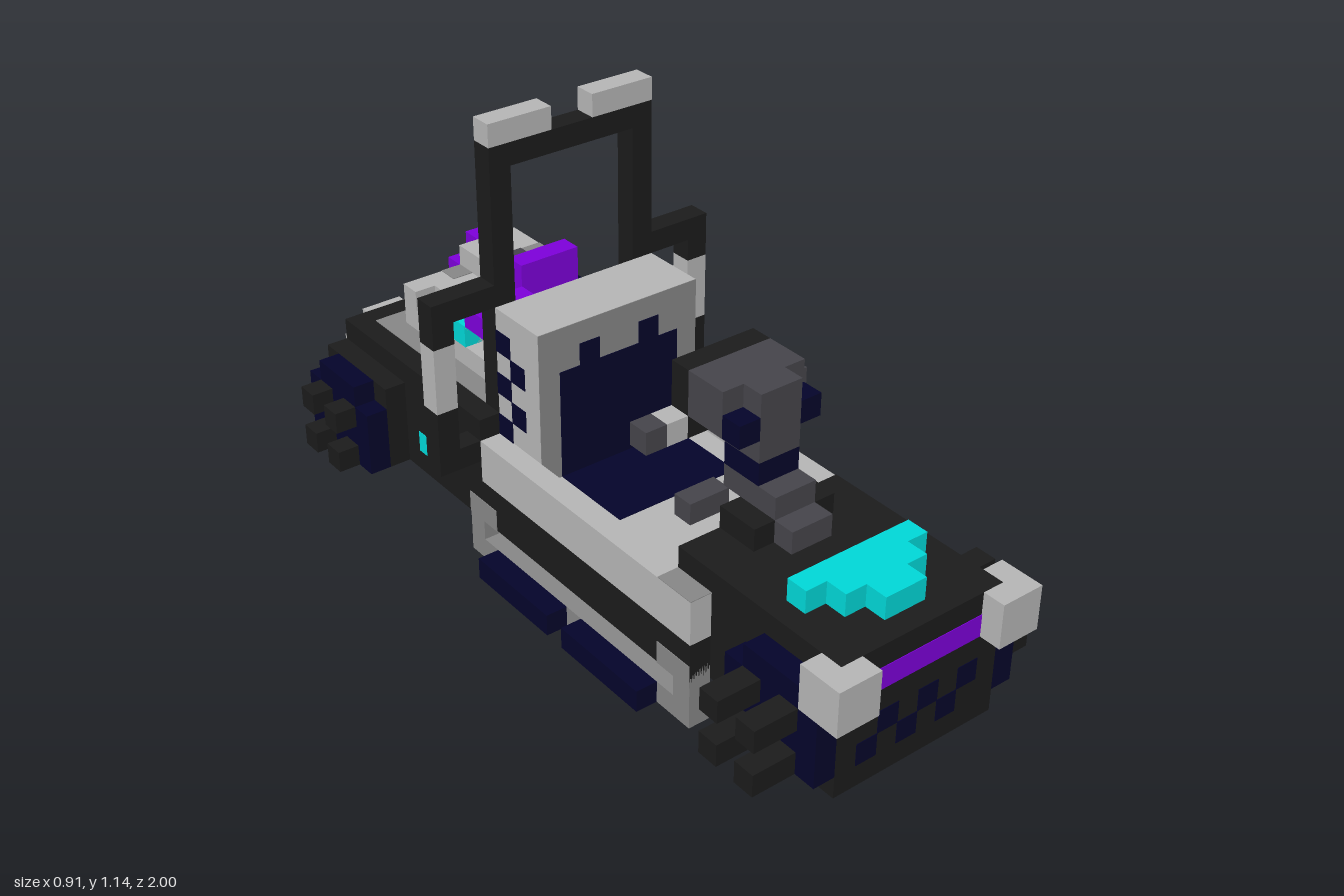
import * as THREE from 'three';

// One block of the model; coordinates below are in blocks, z counted from the rear end.
const U = 2 / 35;
const T = 0.03; // thickness of painted plates

export function createModel() {
  const root = new THREE.Group();
  root.name = 'buggy';
  const mat = (name, color) => {
    const m = new THREE.MeshStandardMaterial({ color });
    m.name = name;
    return m;
  };
  const black = mat('black', 0x1b1b1b);
  const navy = mat('navy', 0x04042a);
  const light = mat('light grey', 0xb4b4b4);
  const mid = mat('mid grey', 0x858585);
  const dark = mat('dark grey', 0x45444a);
  const cyan = mat('cyan', 0x00d6d6);
  const purple = mat('purple', 0x7c00d8);

  const box = (name, m, x0, x1, y0, y1, z0, z1) => {
    const g = new THREE.BoxGeometry((x1 - x0) * U, (y1 - y0) * U, (z1 - z0) * U);
    g.translate(((x0 + x1) / 2) * U, ((y0 + y1) / 2) * U, ((z0 + z1) / 2 - 17.5) * U);
    const mesh = new THREE.Mesh(g, m);
    mesh.name = name;
    root.add(mesh);
  };
  const pair = (name, m, x0, x1, ...r) => {
    box(name, m, x0, x1, ...r);
    box(name, m, -x1, -x0, ...r);
  };

  // Chassis with a recessed, ribbed underside
  box('rearBody', black, -5, 5, 2, 7, 2, 13);
  pair('rearFender', black, 5, 6, 2, 6, 2, 7);
  box('rearSkid', black, -4, 4, 1, 2, 3, 7);
  box('floorPan', black, -4, 4, 3, 4, 13, 27);
  pair('sill', black, 4, 5, 2, 4, 13, 27);
  for (const z of [15, 19, 23]) box('floorRib', navy, -4, 4, 2, 3, z, z + 1);
  box('hood', black, -4, 4, 2, 7, 27, 34);
  box('hoodRear', black, -4, 4, 5, 7, 25, 27);
  box('frontSkid', black, -4, 4, 1, 2, 32, 34);
  pair('sideMarker', cyan, 5, 5 + T, 3, 4, 8, 10);

  // Cockpit tub
  box('tubFloor', light, -4, 4, 4, 5, 13, 27);
  pair('tubWall', light, 4, 5, 4, 6, 13, 27);
  pair('tubRimCap', mid, 4, 5, 6, 6 + T, 25, 27);

  // Seat
  box('seatBack', light, -4, 4, 5, 12, 13, 16);
  box('seatBackFace', mid, -4, 4, 5, 12, 16, 16 + T);
  box('seatBackPad', navy, -3, 3, 5, 10, 16 + T, 16 + 2 * T);
  pair('seatBackPadTop', navy, 1, 2, 10, 11, 16 + T, 16 + 2 * T);
  box('seatCushion', navy, -3, 3, 5, 5 + T, 16, 20);
  for (let y = 6; y <= 10; y++) {
    const z = y % 2 ? 14 : 13;
    pair('seatVent', navy, 4, 4 + T, y, y + 1, z, z + 1);
  }

  // Dashboard, steering column and handlebar
  box('dashboard', dark, -3, 3, 5, 6, 24, 25);
  box('gearLever', dark, -1, 1, 5, 6, 21, 22);
  pair('cowl', black, 1, 2, 7, 8, 25, 27);
  box('columnBase', dark, -1, 1, 7, 8, 25, 28);
  box('columnLower', dark, -1, 1, 8, 9, 24, 27);
  box('columnNeck', navy, -1, 1, 9, 10, 24, 26);
  box('columnHead', dark, -1, 1, 10, 13, 23, 26);
  pair('headCover', dark, 1, 2, 12, 13, 23, 25);
  pair('headLamp', navy, 1, 2, 11, 12, 25, 26);
  pair('headSide', dark, 1, 2, 11, 12, 23, 25);
  box('displayHousing', black, -2, 2, 10, 13, 22, 23);
  box('display', light, -1, 1, 11, 12, 22 - T, 22);
  pair('handleJoint', light, 2, 3, 10, 11, 22, 23);
  pair('handleGrip', dark, 3, 4, 10, 11, 22, 23);

  // Nose: stepped hood ornament, lamps, stripe and grille
  [3, 2, 1].forEach((w, i) => box('hoodOrnament', cyan, -w, w, 7, 8, 30 + i, 31 + i));
  pair('headlight', light, 3, 5, 5, 7, 34, 35);
  pair('headlightBack', light, 4, 5, 5, 7, 33, 34);
  box('noseStripe', purple, -3, 3, 5, 6, 34, 34 + T);
  for (let i = 0; i < 6; i++) {
    const y = 2 + (i % 2);
    box('grilleCell', navy, i - 3, i - 2, y, y + 1, 34, 34 + T);
  }

  // Wheels with lug spikes: [inner x, outer x, spike end, rear z]
  for (const [x0, x1, x2, z] of [[6, 7, 8, 2], [4, 5, 7, 29]]) {
    pair('wheel', navy, x0, x1, 2, 5, z, z + 5);
    pair('wheelTop', navy, x0, x1, 5, 6, z + 1, z + 4);
    for (const y of [2, 4])
      for (const dz of [1, 3])
        pair('wheelSpike', black, x1, x2, y, y + 1, z + dz, z + dz + 1);
  }

  // Running boards
  pair('boardRail', mid, 4, 5, 0, 1, 12, 27);
  for (const [z, bracketZ] of [[12, 12], [26, 25]]) {
    pair('boardPost', mid, 4, 5, 1, 2, z, z + 1);
    pair('boardBracket', mid, 4, 5 + T, 2 - T, 3, bracketZ, bracketZ + 2);
  }
  for (const z of [14, 20]) pair('step', navy, 5, 6, 0, 1, z, z + 5);

  // Roll hoop and side frames
  pair('hoopPost', black, 3, 4, 7, 18, 12, 13);
  box('hoopTop', black, -4, 4, 18, 19, 12, 13);
  pair('hoopLamp', light, 1, 4, 19, 20, 12, 13);
  pair('frameTop', black, 4, 7, 12, 13, 12, 13);
  pair('frameUpper', black, 6, 7, 11, 12, 12, 13);
  pair('frameSleeve', light, 6, 7, 8, 11, 12, 13);
  pair('frameLower', black, 6, 7, 6, 8, 12, 13);
  pair('frameFoot', black, 5, 7, 5, 6, 12, 13);

  // Engine
  box('engineTray', mid, -4, 4, 7, 7 + T, 3, 12);
  box('engineBase', light, -3, 3, 7, 8, 4, 11);
  box('engineBlock', light, -2, 3, 8, 9, 4, 10);
  for (const z of [4, 6, 8]) box('engineBolt', light, -3, -2, 8, 9, z, z + 1);
  box('engineHead', light, 0, 3, 9, 10, 4, 7);
  box('headChannel', mid, 0, 3, 10, 10 + T, 6, 7);
  box('blockChannel', mid, -1, 0, 9, 9 + T, 6, 7);
  box('blockRecess', mid, -1, 0, 9, 9 + T, 4, 5);
  box('channelPlug', dark, 1, 2, 10 + T, 10 + 2 * T, 6, 7);
  box('engineSidePort', dark, 3, 3 + T, 8, 9, 6, 7);
  box('engineSidePipe', mid, 3, 3 + T, 8, 9, 5, 6);
  box('leftCover', purple, -3, 0, 9, 10, 9, 11);
  box('rightCover', purple, 0, 3, 9, 11, 8, 9);
  box('engineLight', cyan, -3 - T, -2, 8, 9 + T, 8, 9);

  // Rear fan
  box('fanBladeUpright', purple, 1, 2, 7, 10, 3, 4);
  for (const x of [0, 2]) box('fanBlade', purple, x, x + 1, 8, 9, 3, 4);

  // Twin exhaust rings
  box('exhaustCore', black, -3, 3, 3, 5, 1, 2);
  pair('exhaustRingTop', light, 1, 3, 5, 6, 0, 1);
  pair('exhaustRingBottom', light, 1, 3, 2, 3, 0, 1);
  pair('exhaustRingOuter', light, 3, 4, 3, 5, 0, 1);
  box('exhaustRingInner', light, -1, 1, 3, 5, 0, 1);

  return root;
}
